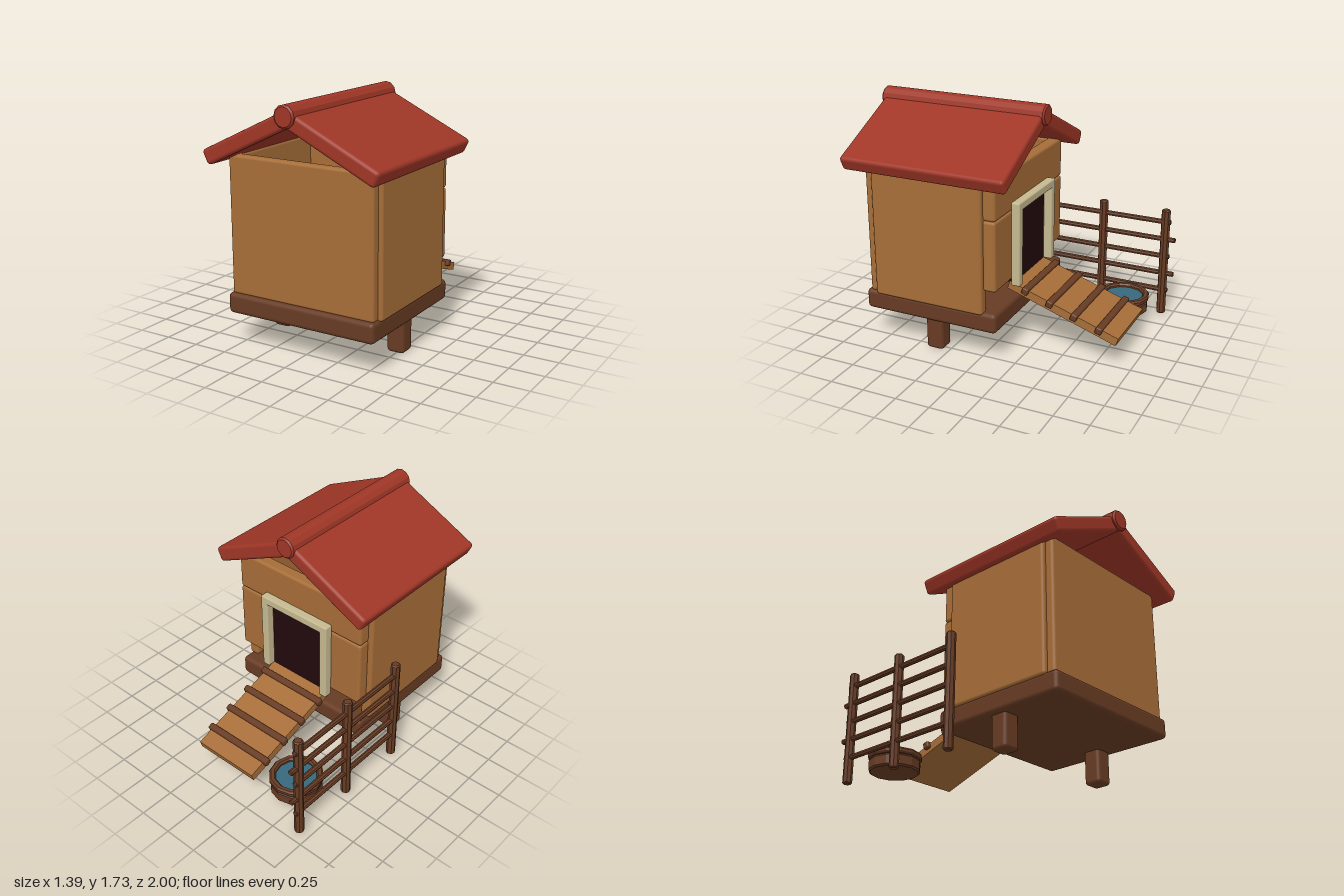
import * as THREE from 'three';
import { toCreasedNormals } from 'three/addons/utils/BufferGeometryUtils.js';
import { RoundedBoxGeometry } from 'three/addons/geometries/RoundedBoxGeometry.js';

const CX = 0.025; // centre line of the house

function material(name, color) {
  const m = new THREE.MeshStandardMaterial({ color });
  m.name = name;
  return m;
}

export function createModel() {
  const root = new THREE.Group();
  root.name = 'coop';
  const tan = material('tanWood', 0xa66d38);
  const brown = material('darkWood', 0x673b23);
  const red = material('redRoof', 0x9f3626);
  const cream = material('creamTrim', 0xc6b990);
  const dark = material('doorDark', 0x22090c);
  const blue = material('water', 0x36697b);

  function add(name, geo, mat, parent = root) {
    const m = new THREE.Mesh(geo, mat);
    m.name = name;
    parent.add(m);
    return m;
  }
  // Bevelled box given by its limits on each axis
  function block(name, mat, [x0, x1], [y0, y1], [z0, z1], bevel = 0.02) {
    const m = add(name, new RoundedBoxGeometry(x1 - x0, y1 - y0, z1 - z0, 2, bevel), mat);
    m.position.set((x0 + x1) / 2, (y0 + y1) / 2, (z0 + z1) / 2);
    return m;
  }
  // Faceted shape turned round the y axis
  function turned(points, sides) {
    const geo = new THREE.LatheGeometry(points.map(([r, y]) => new THREE.Vector2(r, y)), sides);
    return toCreasedNormals(geo, 0.4);
  }
  // Rod with chamfered ends, centred on its length
  function rod(r, len, sides, bevel) {
    const h = len / 2;
    return turned([[0, -h], [r - bevel, -h], [r, -h + bevel], [r, h - bevel], [r - bevel, h], [0, h]], sides);
  }

  // Platform and its two legs
  block('platform', brown, [-0.55, 0.595], [0.24, 0.385], [-0.145, 0.88], 0.03);
  for (const s of [-1, 1]) {
    const x = CX + s * 0.468;
    block('leg', brown, [x - 0.065, x + 0.065], [0.005, 0.27], [0.29, 0.42], 0.025);
  }

  // Walls, open at the top under the roof
  block('frontWall', tan, [-0.53, 0.58], [0.375, 1.34], [0.775, 0.85]);
  for (const s of [-1, 1]) {
    const a = CX + s * 0.585, b = CX + s * 0.505;
    block('sideWall', tan, [Math.min(a, b), Math.max(a, b)], [0.37, 1.335], [-0.05, 0.79]);
  }
  block('backUpperPanel', tan, [-0.53, 0.58], [1.05, 1.34], [-0.14, -0.045]);
  block('backRightPanel', tan, [-0.53, CX - 0.24], [0.545, 1.05], [-0.14, -0.045]);
  block('backLeftPanel', tan, [CX + 0.24, 0.58], [0.545, 1.05], [-0.14, -0.045]);

  // Doorway with trim
  add('doorway', new THREE.BoxGeometry(0.5, 0.57, 0.08), dark).position.set(CX, 0.785, -0.095);
  for (const s of [-1, 1]) {
    const x = CX + s * 0.272;
    block('doorPost', cream, [x - 0.03, x + 0.03], [0.5, 1.1], [-0.2, -0.135], 0.01);
  }
  block('doorLintel', cream, [CX - 0.302, CX + 0.302], [1.05, 1.11], [-0.2, -0.135], 0.01);

  // Roof slabs and ridge
  const slope = 0.446, slabLength = 0.72;
  for (const s of [-1, 1]) {
    const slab = add('roofSlab', new RoundedBoxGeometry(slabLength, 0.11, 1.235, 2, 0.025), red);
    slab.position.set(
      CX + s * Math.cos(slope) * slabLength / 2, 1.637 - Math.sin(slope) * slabLength / 2, 0.3625);
    slab.rotation.z = -s * slope;
  }
  const ridge = add('roofRidge', rod(0.077, 1.27, 12, 0.012), red);
  ridge.position.set(CX, 1.655, 0.365);
  ridge.rotation.x = Math.PI / 2;

  // Ramp with cleats
  const ramp = new THREE.Group();
  ramp.name = 'ramp';
  ramp.position.set(CX, 0.345, -0.5);
  ramp.rotation.x = -0.323;
  root.add(ramp);
  add('rampBoard', new THREE.BoxGeometry(0.51, 0.06, 0.855), tan, ramp);
  for (let i = 0; i < 4; i++) {
    const cleat = add('cleat', new RoundedBoxGeometry(0.565, 0.05, 0.048, 1, 0.01), brown, ramp);
    cleat.position.set(0, 0.022, 0.295 - i * 0.193);
  }

  // Fence: three posts and five rails, alternately shifted
  const fence = new THREE.Group();
  fence.name = 'fence';
  fence.position.x = -0.67;
  root.add(fence);
  for (const z of [0.08, -0.435, -0.92])
    add('fencePost', rod(0.034, 0.83, 8, 0.008), brown, fence).position.set(0, 0.435, z);
  for (let i = 0; i < 5; i++) {
    const end = i % 2 ? -1.0 : -0.96;
    const rail = add('fenceRail', rod(0.02, 0.07 - end, 8, 0.004), brown, fence);
    rail.position.set(0, 0.21 + i * 0.136, (0.07 + end) / 2);
    rail.rotation.x = Math.PI / 2;
  }

  // Water bowl
  const bowl = new THREE.Group();
  bowl.name = 'waterBowl';
  bowl.position.set(-0.443, 0, -0.695);
  root.add(bowl);
  add('bowl', turned([
    [0, 0.105], [0.17, 0.105], [0.182, 0.117], [0.182, 0.18], [0.172, 0.192], [0.182, 0.195],
    [0.191, 0.208], [0.191, 0.225], [0.18, 0.238], [0.155, 0.238], [0.144, 0.225], [0.144, 0.2],
  ], 12), brown, bowl);
  const water = add('waterSurface', new THREE.CircleGeometry(0.146, 12), blue, bowl);
  water.position.y = 0.213;
  water.rotation.x = -Math.PI / 2;

  return root;
}
